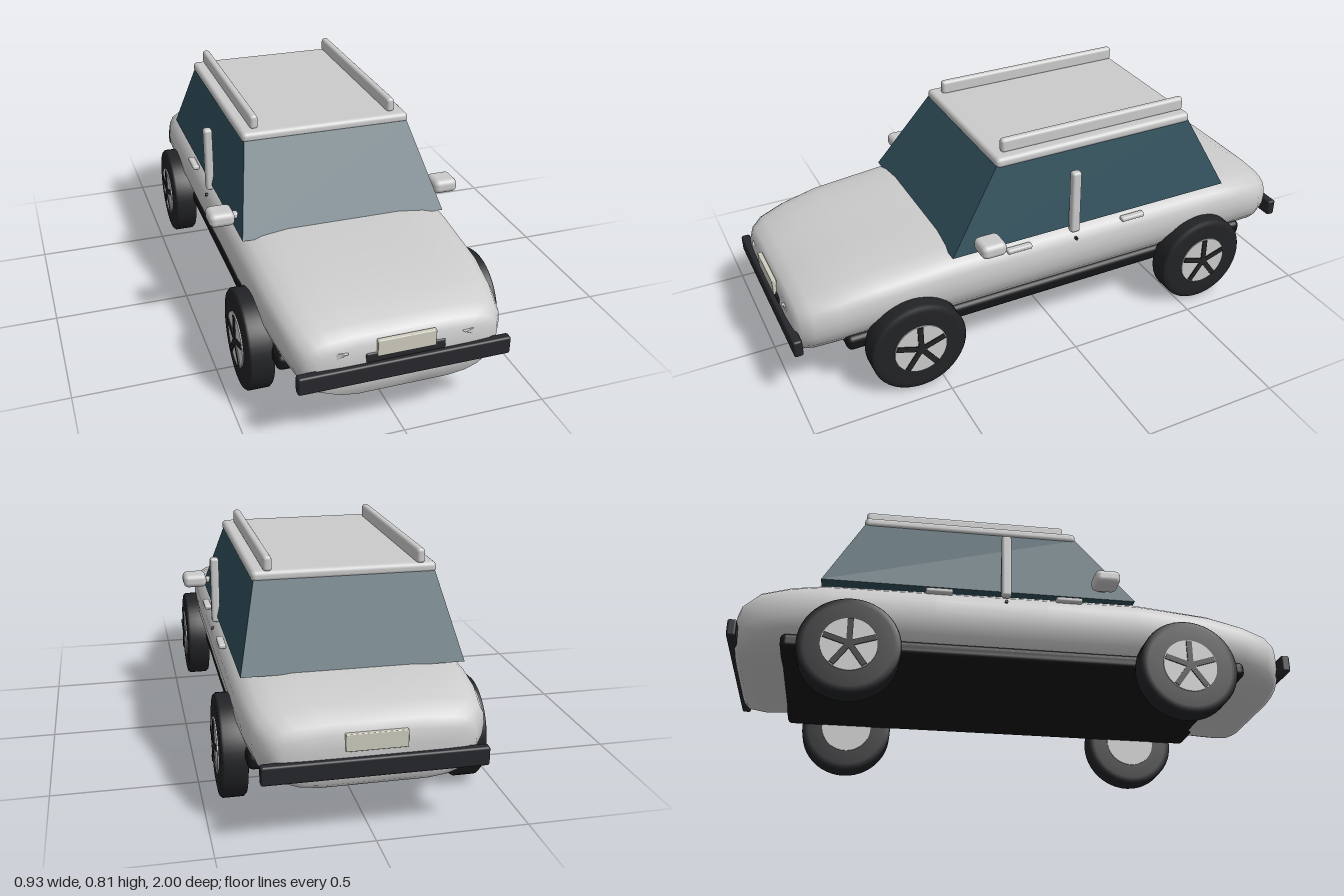
import * as THREE from 'three';
import { RoundedBoxGeometry } from 'three/addons/geometries/RoundedBoxGeometry.js';

const mat = (color, side = THREE.FrontSide) => new THREE.MeshStandardMaterial({ color, side });

export function createModel() {
  const car = new THREE.Group();
  car.name = 'car';
  const paint = mat(0xcccccc), glass = mat(0x2f4f5a), rubber = mat(0x222326);
  const trim = mat(0x26272c), under = mat(0x141517), plateMat = mat(0xcfcdbf), lamp = mat(0xf4f4f4);

  const add = (name, geometry, material, parent = car) => {
    const mesh = new THREE.Mesh(geometry, material);
    mesh.name = name;
    parent.add(mesh);
    return mesh;
  };
  // Rounded box given by its lower and upper limits
  const block = (name, [x0, x1], [y0, y1], [z0, z1], material, r = 0.01) => {
    const g = new RoundedBoxGeometry(x1 - x0, y1 - y0, z1 - z0, 3, r);
    g.translate((x0 + x1) / 2, (y0 + y1) / 2, (z0 + z1) / 2);
    return add(name, g, material);
  };

  add('body', bodyGeometry(), paint);
  block('underbody', [-0.37, 0.37], [0.183, 0.24], [-0.82, 0.82], under, 0.02);

  // Windows: a box whose top is drawn in
  const cabin = new THREE.BoxGeometry(2, 1, 2);
  const p = cabin.attributes.position;
  for (let i = 0; i < p.count; i++) {
    const top = p.getY(i) > 0, front = p.getZ(i) > 0;
    const z = top ? (front ? 0.225 : -0.56) : (front ? 0.425 : -0.7);
    p.setXYZ(i, p.getX(i) * (top ? 0.305 : 0.372), top ? 0.73 : 0.452, z);
  }
  cabin.computeVertexNormals();
  add('windows', cabin, glass);
  block('roof', [-0.312, 0.312], [0.72, 0.758], [-0.563, 0.226], paint, 0.016);

  // Bumpers and number plates at both ends
  for (const [end, s] of [['front', 1], ['rear', -1]]) {
    const span = (a, b) => (s > 0 ? [a, b] : [-b, -a]);
    block(end + 'Bumper', [-0.358, 0.358], [0.22, 0.283], span(0.968, 1), trim, 0.008);
    block(end + 'Plate', [-0.098, 0.098], [0.305, 0.362], span(0.975, 0.992), plateMat, 0.003);
  }
  block('plateHolder', [-0.135, 0.135], [0.28, 0.317], [0.96, 0.985], trim, 0.008);

  // Parts that occur on both sides
  const lampShape = new THREE.Shape([
    [-0.055, 0.032], [-0.03, 0.02], [-0.012, 0.002], [0.046, 0], [0.05, 0.018], [0.04, 0.037],
  ].map(([x, y]) => new THREE.Vector2(x, y)));
  for (const [side, s] of [['left', 1], ['right', -1]]) {
    const span = (a, b) => (s > 0 ? [a, b] : [-b, -a]);
    block(side + 'RoofRail', span(0.243, 0.272), [0.752, 0.805], [-0.557, 0.187], paint, 0.012);
    block(side + 'DoorPillar', span(0.36, 0.391), [0.43, 0.677], [-0.066, -0.03], paint, 0.01);
    block(side + 'Mirror', span(0.375, 0.466), [0.473, 0.525], [0.26, 0.352], paint, 0.02);
    block(side + 'MirrorArm', span(0.34, 0.39), [0.485, 0.505], [0.29, 0.32], paint, 0.006);
    for (const [row, z] of [['Front', 0.178], ['Rear', -0.288]]) {
      block(side + row + 'DoorHandle', span(0.372, 0.398), [0.42, 0.438], [z - 0.048, z + 0.048], paint, 0.007);
    }
    const lock = add(side + 'DoorLock', new THREE.CylinderGeometry(0.006, 0.006, 0.03, 12), rubber);
    lock.rotation.z = Math.PI / 2;
    lock.position.set(s * 0.38, 0.404, -0.05);

    const light = add(side + 'Headlight', new THREE.ExtrudeGeometry(lampShape,
      { depth: 0.05, bevelEnabled: true, bevelSize: 0.003, bevelThickness: 0.003, bevelSegments: 2 }),
      s > 0 ? lamp : mat(0xf4f4f4, THREE.DoubleSide));
    light.rotation.y = s * 0.3;
    light.scale.x = s;
    light.position.set(s * 0.235, 0.299, 0.922);

    for (const [end, z] of [['Front', 0.587], ['Rear', -0.587]]) {
      const wheel = makeWheel(add, rubber, paint);
      wheel.name = side + end + 'Wheel';
      wheel.position.set(s * 0.401, 0.175, z);
      wheel.rotation.y = s > 0 ? 0 : Math.PI;
      car.add(wheel);
    }
  }
  return car;
}

// Wheel with its axle along x and its outer face towards +x
function makeWheel(add, rubber, paint) {
  const wheel = new THREE.Group();
  const profile = [
    [0.09, -0.045], [0.15, -0.045], [0.168, -0.042], [0.175, -0.034],
    [0.175, 0.034], [0.168, 0.042], [0.15, 0.045], [0.09, 0.045],
  ].map(([r, y]) => new THREE.Vector2(r, y));
  const tyre = new THREE.LatheGeometry(profile, 48);
  tyre.rotateZ(-Math.PI / 2);
  add('tyre', tyre, rubber, wheel);
  const rim = new THREE.CylinderGeometry(0.096, 0.096, 0.098, 40);
  rim.rotateZ(-Math.PI / 2);
  add('rim', rim, paint, wheel);
  for (let i = 0; i < 5; i++) {
    const spoke = new THREE.BoxGeometry(0.02, 0.092, 0.02);
    spoke.translate(0.043, 0.046, 0);
    spoke.rotateX(i * Math.PI * 2 / 5);
    add('spoke', spoke, rubber, wheel);
  }
  return wheel;
}

// Body lofted from rear to front through one rounded section
function bodyGeometry() {
  // z, half width, bottom, top
  const stations = [
    [-0.982, 0.22, 0.225, 0.315], [-0.978, 0.29, 0.195, 0.355], [-0.962, 0.325, 0.18, 0.385],
    [-0.9, 0.37, 0.18, 0.42], [-0.8, 0.388, 0.19, 0.442], [-0.68, 0.395, 0.192, 0.458],
    [-0.3, 0.397, 0.192, 0.462], [0.1, 0.397, 0.192, 0.466], [0.43, 0.397, 0.192, 0.468],
    [0.7, 0.388, 0.19, 0.444], [0.83, 0.373, 0.18, 0.419], [0.92, 0.352, 0.17, 0.393],
    [0.96, 0.325, 0.165, 0.37], [0.978, 0.29, 0.168, 0.345], [0.982, 0.22, 0.21, 0.3],
  ];
  // Right half of the section as fractions of half width and height
  const half = [
    [0.25, 0], [0.52, 0], [0.72, 0.04], [0.87, 0.13], [0.95, 0.27], [0.99, 0.43], [1, 0.58],
    [0.99, 0.73], [0.95, 0.85], [0.87, 0.93], [0.75, 0.97], [0.52, 1], [0.25, 1],
  ];
  const ring = [...half, ...half.map(([x, y]) => [-x, y]).reverse()];
  const n = ring.length, pos = [], idx = [];
  for (const [z, w, y0, y1] of stations) {
    for (const [x, y] of ring) pos.push(x * w, y0 + y * (y1 - y0), z);
  }
  const last = (stations.length - 1) * n, rear = stations.length * n;
  pos.push(0, 0.27, -0.983, 0, 0.26, 0.983);
  for (let j = 0; j < n; j++) {
    const k = (j + 1) % n;
    for (let a = 0; a < last; a += n) idx.push(a + j, a + k, a + n + k, a + j, a + n + k, a + n + j);
    idx.push(rear, k, j, rear + 1, last + j, last + k);
  }
  const g = new THREE.BufferGeometry();
  g.setAttribute('position', new THREE.Float32BufferAttribute(pos, 3));
  g.setIndex(idx);
  g.computeVertexNormals();
  return g;
}
